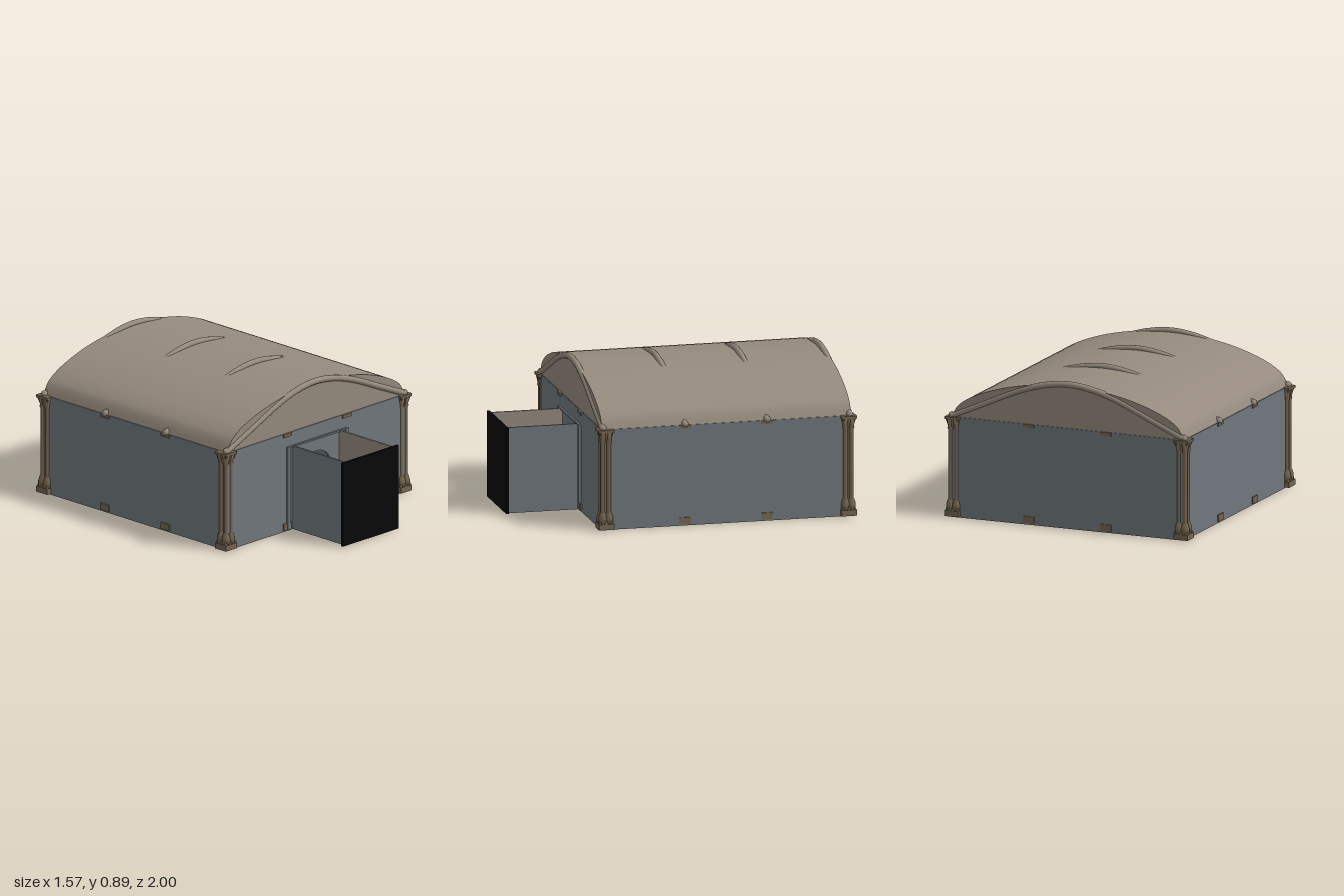
import * as THREE from 'three';

const mat = (name, color, side = THREE.FrontSide) => {
  const m = new THREE.MeshStandardMaterial({ color, side });
  m.name = name;
  return m;
};

export function createModel() {
  const model = new THREE.Group();
  model.name = 'vaultedHall';
  const wallGrey = mat('wallGrey', 0x70777c);
  const roofStone = mat('roofStone', 0x958a7d);
  const brown = mat('brownStone', 0x756550);
  const black = mat('black', 0x080808);

  const add = (name, geo, material, x = 0, y = 0, z = 0, parent = model) => {
    const mesh = new THREE.Mesh(geo, material);
    mesh.name = name;
    mesh.position.set(x, y, z);
    parent.add(mesh);
    return mesh;
  };
  // box given by its min and max corners
  const box = (name, m, x0, x1, y0, y1, z0, z1) =>
    add(name, new THREE.BoxGeometry(x1 - x0, y1 - y0, z1 - z0), m, (x0 + x1) / 2, (y0 + y1) / 2, (z0 + z1) / 2);

  const X = 0.755, F = 0.55, B = -0.98, H = 0.61;

  // ground slab and floors
  box('baseSlab', wallGrey, -X, X, 0, 0.01, B, F);
  box('porchSlab', wallGrey, -0.2, 0.2, 0, 0.01, F, 0.985);
  box('hallFloor', brown, -X + 0.02, X - 0.02, 0.01, 0.015, B + 0.02, F - 0.02);
  box('porchFloor', brown, -0.195, 0.195, 0.01, 0.015, F - 0.02, 0.985);

  // side and back walls
  for (const s of [-1, 1]) {
    const a = s * X, b = s * (X - 0.015);
    box('sideWall', wallGrey, Math.min(a, b), Math.max(a, b), 0.01, H, B, F);
  }
  box('backWall', wallGrey, -X, X, 0.01, H, B, B + 0.015);

  // front wall with an arched doorway
  const front = new THREE.Shape();
  front.moveTo(-X, 0.01).lineTo(X, 0.01).lineTo(X, H).lineTo(-X, H).closePath();
  const door = new THREE.Path();
  door.moveTo(-0.13, 0.016).lineTo(-0.13, 0.31);
  door.absarc(0, 0.31, 0.13, Math.PI, 0, true);
  door.lineTo(0.13, 0.016).closePath();
  front.holes.push(door);
  add('frontWall', new THREE.ExtrudeGeometry(front, { depth: 0.015, bevelEnabled: false, curveSegments: 24 }),
    wallGrey, 0, 0, F - 0.015);

  // open-topped entrance passage
  for (const s of [-1, 1]) {
    const wall = box('porchWall', wallGrey, -0.005, 0.005, 0.01, 0.522, F, 0.985);
    wall.position.x = s * 0.2;
    const lining = box('porchLining', roofStone, -0.002, 0.002, 0.015, 0.521, F, 0.985);
    lining.position.x = s * 0.194;
    const post = box('doorPost', wallGrey, -0.01, 0.01, 0.01, 0.525, F, F + 0.015);
    post.position.x = s * 0.245;
  }
  box('doorLintel', wallGrey, -0.255, 0.255, 0.515, 0.525, F, F + 0.012);
  box('entrancePanel', black, -0.235, 0.235, 0.005, 0.525, 0.983, 1);

  // vaulted roof, extruded along z
  const half = [[0.75, 0.61], [0.728, 0.655], [0.7, 0.69], [0.64, 0.73], [0.55, 0.77], [0.42, 0.812], [0.28, 0.842], [0.14, 0.86]];
  const arch = [...half, [0, 0.867], ...half.map(([x, y]) => [-x, y]).reverse()]
    .map(([x, y]) => new THREE.Vector2(x, y));
  const roofShape = new THREE.Shape(new THREE.SplineCurve(arch).getPoints(48));
  add('vaultRoof', new THREE.ExtrudeGeometry(roofShape, { depth: F - B - 0.01, bevelEnabled: false }),
    roofStone, 0, 0, B + 0.005);

  // arched ribs, the inner ones only break through at the crown and eaves
  const ribPts = [[-0.755, 0.612], [-0.55, 0.703], [-0.3, 0.812], [-0.14, 0.858], [0, 0.873],
    [0.14, 0.858], [0.3, 0.812], [0.55, 0.703], [0.755, 0.612]].map(([x, y]) => new THREE.Vector3(x, y, 0));
  const ribGeo = new THREE.TubeGeometry(new THREE.CatmullRomCurve3(ribPts), 48, 0.019, 10);
  const knobGeo = new THREE.SphereGeometry(0.021, 10, 8);
  for (const z of [0.54, 0.04, -0.46, -0.965]) {
    add('roofRib', ribGeo, roofStone, 0, 0, z);
    for (const s of [-1, 1]) add('ribEnd', knobGeo, roofStone, s * 0.753, 0.617, z);
  }

  // clustered corner columns
  const shaftGeo = new THREE.LatheGeometry([[0, 0.04], [0.026, 0.04], [0.026, 0.075], [0.019, 0.1], [0.0135, 0.11],
    [0.0135, 0.53], [0.018, 0.54], [0.015, 0.55], [0.025, 0.595], [0, 0.595]]
    .map(([x, y]) => new THREE.Vector2(x, y)), 10);
  const plinthGeo = new THREE.BoxGeometry(0.092, 0.035, 0.092);
  const stepGeo = new THREE.CylinderGeometry(0.042, 0.06, 0.05, 4).rotateY(Math.PI / 4);
  const capGeo = new THREE.CylinderGeometry(0.06, 0.036, 0.06, 4).rotateY(Math.PI / 4);
  const abacusGeo = new THREE.BoxGeometry(0.094, 0.016, 0.094);
  const coreGeo = new THREE.BoxGeometry(0.036, 0.5, 0.036);
  for (const x of [-0.74, 0.74]) for (const z of [0.525, -0.955]) {
    const column = new THREE.Group();
    column.name = 'cornerColumn';
    column.position.set(x, 0, z);
    model.add(column);
    add('plinth', plinthGeo, brown, 0, 0.0235, 0, column);
    add('baseStep', stepGeo, brown, 0, 0.066, 0, column);
    add('core', coreGeo, brown, 0, 0.32, 0, column);
    add('capital', capGeo, brown, 0, 0.57, 0, column);
    add('abacus', abacusGeo, brown, 0, 0.604, 0, column);
    for (const sx of [-1, 1]) for (const sz of [-1, 1])
      add('shaft', shaftGeo, brown, sx * 0.019, 0, sz * 0.019, column);
  }

  // small brackets at the foot and head of each wall
  for (const [y, h] of [[0.03, 0.04], [0.6, 0.02]]) {
    const across = new THREE.BoxGeometry(0.07, h, 0.03);
    const along = new THREE.BoxGeometry(0.03, h, 0.07);
    for (const s of [-1, 1]) {
      add('frontBracket', across, brown, s * 0.25, y, F - 0.005);
      add('backBracket', across, brown, s * 0.25, y, B + 0.008);
      for (const z of [0.04, -0.46]) add('sideBracket', along, brown, s * (X - 0.007), y, z);
    }
  }
  return model;
}
